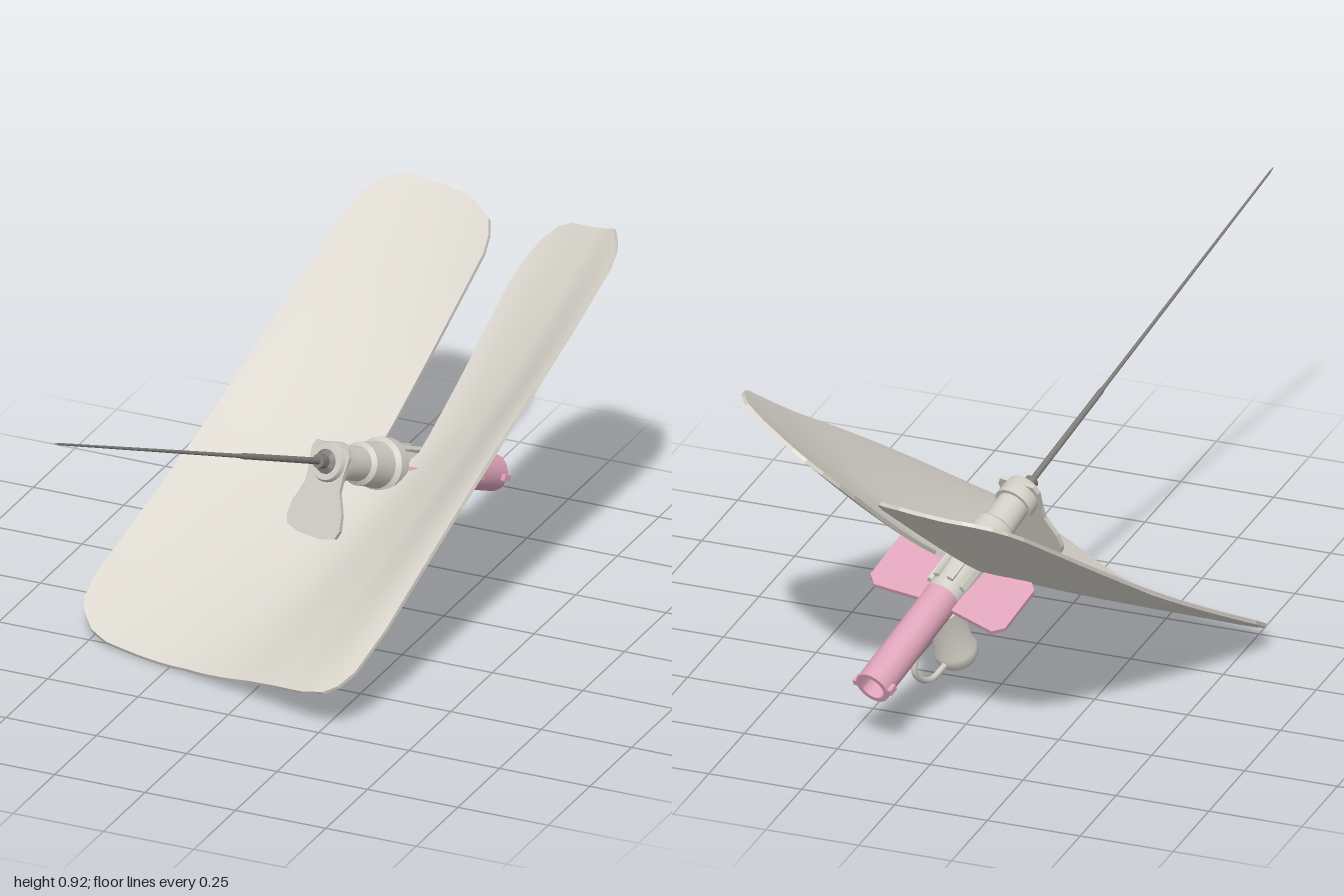
import * as THREE from 'three';
import { toCreasedNormals } from 'three/addons/utils/BufferGeometryUtils.js';

const mat = (name, color) => {
  const m = new THREE.MeshStandardMaterial({ color });
  m.name = name;
  return m;
};
const shellGrey = mat('warm shell grey', 0xdad6cd);
const gripGrey = mat('grip grey', 0xcfcdc4);
const darkGrey = mat('needle grey', 0x7d7b77);
const pink = mat('pink', 0xdda3b8);

function add(parent, name, geometry, material) {
  const mesh = new THREE.Mesh(geometry, material);
  mesh.name = name;
  parent.add(mesh);
  return mesh;
}

// Turned part along local z; profile is [radius, z] with z ascending outside
function turned(profile, sides = 24) {
  const g = new THREE.LatheGeometry(profile.map(([r, z]) => new THREE.Vector2(r, z)), sides);
  g.rotateX(Math.PI / 2);
  return toCreasedNormals(g, 0.6);
}

// Piecewise linear lookup in a list of [c, z]
function lookup(table, c) {
  for (let i = 1; i < table.length; i++) {
    const [a, za] = table[i - 1], [b, zb] = table[i];
    if (c <= b) return za + ((zb - za) * (c - a)) / (b - a);
  }
  return table[table.length - 1][1];
}

// Shield outline: front edge, two rear lobes and the slot between them
const FRONT = [[-0.526, 0.1], [-0.51, 0.17], [-0.485, 0.205], [-0.44, 0.245], [-0.385, 0.27], [-0.133, 0.33],
  [0.07, 0.4], [0.29, 0.49], [0.36, 0.507], [0.395, 0.495], [0.42, 0.46], [0.435, 0.35]];
const REAR_RIGHT = [[-0.526, -0.9], [-0.51, -0.945], [-0.485, -0.978], [-0.44, -0.996], [-0.405, -1],
  [-0.28, -0.985], [-0.18, -0.96], [-0.085, -0.905], [-0.055, -0.865], [-0.04, -0.82]];
const SLOT = [[-0.04, -0.35], [-0.015, -0.32], [0.02, -0.305], [0.055, -0.32], [0.078, -0.35]];
const REAR_LEFT = [[0.078, -0.74], [0.09, -0.79], [0.115, -0.825], [0.15, -0.84], [0.19, -0.832], [0.25, -0.8],
  [0.36, -0.74], [0.4, -0.685], [0.42, -0.65], [0.435, -0.6]];

// Cross-sections of the dished sheet at its front, middle and rear, every 0.2 from -0.55
const SECTIONS = {
  front: [0.195, 0.197, 0.22, 0.276, 0.365, 0.468],
  middle: [0.14, 0.123, 0.12, 0.147, 0.292, 0.49],
  rear: [0.148, 0.145, 0.172, 0.25, 0.388, 0.525],
};
function section(values, w) {
  const at = (i) => values[Math.min(Math.max(i, 0), 5)];
  const u = (w + 0.55) / 0.2, i = Math.min(Math.max(Math.floor(u), 0), 4), t = u - i;
  const a = at(i), b = at(i + 1), ma = (b - at(i - 1)) / 2, mb = (at(i + 2) - a) / 2;
  return a + t * (ma + t * (3 * (b - a) - 2 * ma - mb + t * (2 * (a - b) + ma + mb)));
}
function height(x, z) {
  const w = x + 0.24 * z, d = z + 0.35;
  const mid = section(SECTIONS.middle, w);
  const end = section(d > 0 ? SECTIONS.front : SECTIONS.rear, w);
  const t = Math.pow(d > 0 ? d / 0.7 : -d / 0.5, 1.4);
  return mid + (end - mid) * t - 0.66 * z;
}
function normalAt(x, z) {
  const e = 0.01;
  return new THREE.Vector3(
    (height(x - e, z) - height(x + e, z)) / (2 * e), 1,
    (height(x, z - e) - height(x, z + e)) / (2 * e)).normalize();
}
// Columns lean sideways as they run to the rear
function sheetPoint(c, z, offset) {
  const k = c < -0.04 ? 0.24 - (0.07 * (c + 0.526)) / 0.486 : 0.17 + 0.04 * (c + 0.04);
  const x = c - k * z;
  const n = normalAt(x, z);
  return { p: new THREE.Vector3(x, height(x, z), z).addScaledVector(n, offset), n };
}

function buildShield() {
  const pos = [], nor = [], idx = [], T = 0.005, ROWS = 20;
  const push = ({ p, n }, s) => {
    pos.push(p.x, p.y, p.z);
    nor.push(n.x * s, n.y * s, n.z * s);
  };
  const even = Array.from({ length: 24 }, (_, i) => -0.5 + i * 0.04);
  for (const rear of [REAR_RIGHT, SLOT, REAR_LEFT]) {
    const c0 = rear[0][0], c1 = rear[rear.length - 1][0];
    const cols = [...new Set([...[...FRONT, ...rear].map((e) => e[0]), ...even])]
      .filter((c) => c >= c0 && c <= c1).sort((a, b) => a - b);
    for (const s of [1, -1]) {
      const base = pos.length / 3;
      cols.forEach((c, i) => {
        const za = lookup(FRONT, c), zb = lookup(rear, c);
        for (let j = 0; j <= ROWS; j++) {
          push(sheetPoint(c, za + ((zb - za) * j) / ROWS, s * T), s);
          if (i && j) {
            const d = base + i * (ROWS + 1) + j, b = d - 1, e = d - ROWS - 1, a = e - 1;
            if (s > 0) idx.push(a, b, e, b, d, e);
            else idx.push(a, e, b, b, e, d);
          }
        }
      });
    }
  }
  // Rim all the way round
  const loop = [...FRONT, ...[...REAR_LEFT].reverse(), ...[...SLOT].reverse(), ...[...REAR_RIGHT].reverse()];
  const STEPS = 6;
  loop.forEach(([ca, za], i) => {
    const [cb, zb] = loop[(i + 1) % loop.length];
    for (let k = 0; k < STEPS; k++) {
      const ends = [k, k + 1].map((t) => [ca + ((cb - ca) * t) / STEPS, za + ((zb - za) * t) / STEPS]);
      const base = pos.length / 3;
      const q = ends.map(([c, z]) => [sheetPoint(c, z, -T), sheetPoint(c, z, T)]);
      const n = q[1][0].p.clone().sub(q[0][0].p).cross(q[0][0].n).normalize();
      for (const pair of q) for (const v of pair) push({ p: v.p, n }, 1);
      idx.push(base, base + 2, base + 1, base + 2, base + 3, base + 1);
    }
  });
  const g = new THREE.BufferGeometry();
  g.setAttribute('position', new THREE.Float32BufferAttribute(pos, 3));
  g.setAttribute('normal', new THREE.Float32BufferAttribute(nor, 3));
  g.setIndex(idx);
  return g;
}

function plate(points, depth) {
  const shape = new THREE.Shape(points.map(([x, y]) => new THREE.Vector2(x, y)));
  return new THREE.ExtrudeGeometry(shape, { depth, bevelEnabled: false });
}

function buildLance() {
  const lance = new THREE.Group();
  lance.name = 'lance';

  // Needle, thicker up to a step
  add(lance, 'needle', turned([[0, -0.04], [0.009, -0.04], [0.008, 0.3], [0.008, 0.34], [0.0055, 0.355],
    [0.003, 1.15], [0, 1.175]], 10), darkGrey);
  add(lance, 'needleSocket', turned([[0, -0.045], [0.031, -0.045], [0.031, -0.022], [0.018, -0.014],
    [0.018, 0.012], [0, 0.012]]), darkGrey);

  // Stepped barrel
  add(lance, 'frontRing', turned([[0, -0.08], [0.052, -0.08], [0.052, -0.03], [0.047, -0.02],
    [0.032, -0.02], [0.032, -0.055]]), gripGrey);
  add(lance, 'barrel', turned([[0, -0.42], [0.047, -0.42], [0.055, -0.3], [0.072, -0.285], [0.072, -0.255],
    [0.06, -0.245], [0.056, -0.21], [0.056, -0.17], [0.045, -0.16], [0.042, -0.07], [0, -0.07]]), gripGrey);
  for (let i = 0; i < 8; i++) {
    const rib = new THREE.BoxGeometry(0.016, 0.012, 0.1);
    rib.translate(0, 0.053, -0.345);
    rib.rotateZ((i * Math.PI) / 4 + Math.PI / 8);
    add(lance, 'barrelRib', rib, gripGrey);
  }

  // Fan-shaped guard hanging from the ring
  const side = [[0.084, -0.16], [0.078, -0.12], [0.055, -0.065], [0.055, -0.03], [0.06, 0.025], [0.05, 0.045]];
  const fan = [[-0.035, -0.193], [0.035, -0.193], [0.075, -0.182], ...side,
    ...side.map(([x, y]) => [-x, y]).reverse(), [-0.075, -0.182]];
  add(lance, 'fanGuard', plate(fan, 0.012), gripGrey).position.z = -0.045;

  // Rear tube, open at its end
  add(lance, 'rearTube', turned([[0, -0.6], [0.034, -0.6], [0.034, -0.757], [0.047, -0.757],
    [0.047, -0.395], [0, -0.395]]), pink);
  for (const s of [1, -1]) {
    const lug = new THREE.BoxGeometry(0.016, 0.016, 0.025);
    add(lance, 'tubeLug', lug, pink).position.set(s * 0.05, 0, -0.744);
    // Flat side fins, rolled a little about the tube
    const a = s * 0.04, b = s * 0.2, m = s * 0.175;
    const outline = [[a, 0.29], [m, 0.275], [b, 0.3], [b, 0.44], [m, 0.465], [a, 0.45]];
    const fin = plate(s > 0 ? outline : outline.reverse(), 0.012);
    fin.translate(0, 0, -0.006);
    fin.rotateX(-Math.PI / 2);
    fin.rotateZ(0.14);
    add(lance, 'sideFin', fin, pink);
  }

  // Handle, its foot and the loop behind
  const handle = turned([[0, -0.205], [0.05, -0.205], [0.056, -0.195], [0.056, -0.17], [0.05, -0.16],
    [0.046, -0.03], [0, -0.03]]);
  handle.rotateX(-Math.PI / 2);
  add(lance, 'handle', handle, gripGrey).position.z = -0.43;
  const path = new THREE.CatmullRomCurve3([[-0.185, -0.47], [-0.172, -0.55], [-0.105, -0.595], [-0.04, -0.555]]
    .map(([y, z]) => new THREE.Vector3(0, y, z)));
  add(lance, 'handleLoop', new THREE.TubeGeometry(path, 20, 0.008, 8), gripGrey);
  const knob = turned([[0, -0.34], [0.022, -0.34], [0.028, -0.33], [0.028, -0.28], [0.02, -0.268], [0, -0.268]], 16);
  add(lance, 'underKnob', knob, gripGrey).position.y = -0.08;
  add(lance, 'knobMount', new THREE.BoxGeometry(0.03, 0.06, 0.05), gripGrey).position.set(0, -0.055, -0.315);

  // Aim local z along the lance
  const origin = new THREE.Vector3(0.002, 0.462, -0.05);
  const z = new THREE.Vector3(-0.25, 0.915, 1).sub(origin).normalize();
  const x = new THREE.Vector3(0, 1, 0).cross(z).normalize();
  const y = z.clone().cross(x);
  lance.quaternion.setFromRotationMatrix(new THREE.Matrix4().makeBasis(x, y, z));
  lance.position.copy(origin);
  return lance;
}

export function createModel() {
  const model = new THREE.Group();
  model.name = 'lanceAndShield';
  add(model, 'shield', buildShield(), shellGrey);
  model.add(buildLance());
  return model;
}
